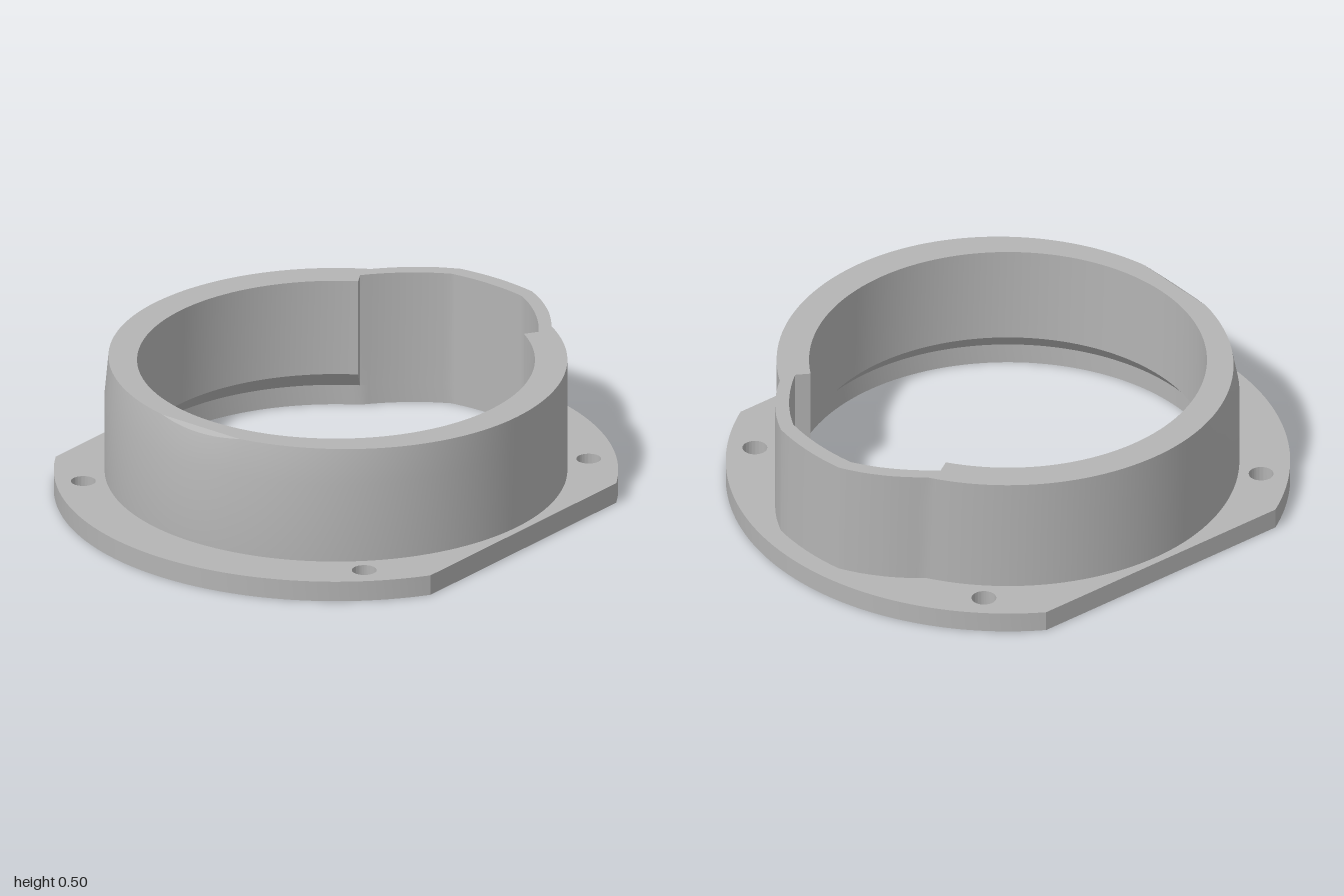
import * as THREE from 'three';
import { toCreasedNormals } from 'three/addons/utils/BufferGeometryUtils.js';

const FLANGE = 0.075, TOP = 0.5;
const STEP = 32.2; // half angle of the rear pocket, in degrees
const rad = THREE.MathUtils.degToRad;

// Radius profiles of the rear bulge, as [degrees from the back, radius]
const OUTER = [[0, 0.925], [10, 0.925], [15, 0.902], [21.3, 0.869], [30, 0.82]];
const INNER = [[0, 0.87], [10.6, 0.87], [16.2, 0.843], [22.9, 0.808], [STEP, 0.76]];

function lookup(table, a) {
  for (let i = 1; i < table.length; i++) {
    const [a0, r0] = table[i - 1], [a1, r1] = table[i];
    if (a <= a1) return r0 + (r1 - r0) * (a - a0) / (a1 - a0);
  }
  return table[table.length - 1][1];
}
const outerR = (d) => lookup(OUTER, Math.abs(d));
const innerR = (d) => (Math.abs(d) < STEP ? lookup(INNER, Math.abs(d)) : 0.705);
const boreR = (d) => Math.max(0.76, innerR(d));

// Sample angles around the ring, 0 at the back, with extra ones at the corners
function ringAngles() {
  const list = [];
  for (let d = -180; d < 180; d += 2.5) list.push(d);
  for (const s of [-1, 1]) list.push(s * (STEP - 0.03), s * (STEP + 0.03), s * 10.6, s * 21.3);
  return list.sort((a, b) => a - b);
}
const ANGLES = ringAngles();

function at(r, d, y) {
  return new THREE.Vector3(r * Math.sin(rad(d)), y, -r * Math.cos(rad(d)));
}

// Closed profile of the collar at one angle, from outer foot to inner foot
function collarSection(d) {
  const r = outerR(d);
  const lean = at(r, d, TOP);
  if (lean.z > 0) lean.z *= 0.957; // front of the collar leans inward
  const rim = lean.clone();
  rim.z = Math.min(rim.z, 0.767); // small flat chamfer at the front
  lean.y = TOP - (lean.z - rim.z) * 0.85;
  return [
    at(r, d, FLANGE), at(r, d, 0.37), lean, rim,
    at(innerR(d), d, TOP), at(innerR(d), d, 0.14), at(boreR(d), d, FLANGE),
  ];
}

function collarGeometry() {
  const sections = ANGLES.map(collarSection);
  const n = sections.length, pos = [];
  const tri = (...pts) => {
    const [a, b, c] = pts;
    const area = b.clone().sub(a).cross(c.clone().sub(a)).length();
    if (area > 1e-9) pts.forEach((p) => pos.push(p.x, p.y, p.z));
  };
  for (let i = 0; i < n; i++) {
    const s = sections[i], t = sections[(i + 1) % n];
    for (let k = 0; k < s.length - 1; k++) {
      tri(s[k], s[k + 1], t[k]);
      tri(s[k + 1], t[k + 1], t[k]);
    }
  }
  const geo = new THREE.BufferGeometry();
  geo.setAttribute('position', new THREE.Float32BufferAttribute(pos, 3));
  return toCreasedNormals(geo, rad(25));
}

// Round plate with two flat sides, a keyed opening and four bolt holes
function flangeGeometry() {
  const a = Math.acos(0.85);
  const shape = new THREE.Shape();
  shape.absarc(0, 0, 1, a, Math.PI - a, false);
  shape.absarc(0, 0, 1, Math.PI + a, 2 * Math.PI - a, false);
  shape.closePath();
  shape.holes.push(new THREE.Path(ANGLES.map((d) => {
    const p = at(boreR(d), d, 0);
    return new THREE.Vector2(p.x, -p.z);
  })));
  for (const x of [-0.637, 0.637]) for (const y of [-0.637, 0.637]) {
    const hole = new THREE.Path();
    hole.absarc(x, y, 0.044, 0, Math.PI * 2, true);
    shape.holes.push(hole);
  }
  const geo = new THREE.ExtrudeGeometry(shape, { depth: FLANGE, bevelEnabled: false, curveSegments: 48 });
  geo.rotateX(-Math.PI / 2);
  return toCreasedNormals(geo, rad(25));
}

export function createModel() {
  const grey = new THREE.MeshStandardMaterial({ color: 0xb4b4b4 });
  grey.name = 'plain grey';
  const group = new THREE.Group();
  group.name = 'flangedCollar';
  const add = (name, geo) => {
    const mesh = new THREE.Mesh(geo, grey);
    mesh.name = name;
    group.add(mesh);
  };
  add('mountingFlange', flangeGeometry());
  add('collarWall', collarGeometry());
  return group;
}
